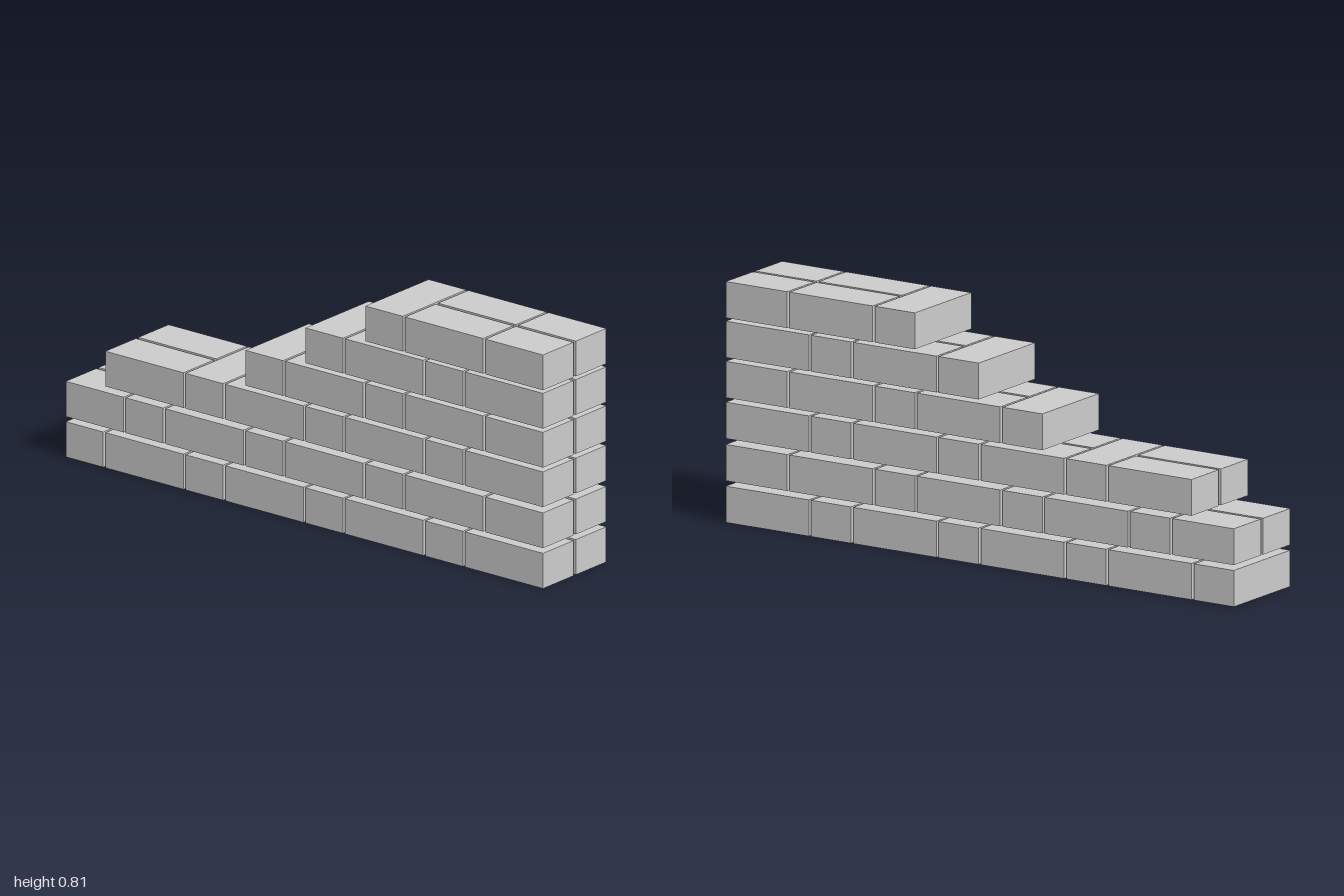
import * as THREE from 'three';

const HEADER = 0.157, STRETCHER = 0.327, CLOSER = 0.242; // brick lengths along z
const JOINT = 0.0091, WIDTH = 0.327, HEIGHT = 0.122;

// S = pair of stretchers, H = header across the wall, Q = pair of three-quarter bricks
const COURSES = [
  { y: 0, bricks: 'SHSHSHSH' },
  { y: 0.14, bricks: 'QSHSHSHQ' },
  { y: 0.282, bricks: 'SHSHSHS' },
  { y: 0.419, bricks: 'QSHSH' },
  { y: 0.554, bricks: 'SHSH' },
  { y: 0.687, bricks: 'QSH' },
];

export function createModel() {
  const wall = new THREE.Group();
  wall.name = 'steppedBrickWall';
  const material = new THREE.MeshStandardMaterial({ color: 0xcccccc, flatShading: true });
  const lengths = { S: STRETCHER, H: HEADER, Q: CLOSER };
  const names = { S: 'stretcherBrick', H: 'headerBrick', Q: 'threeQuarterBrick' };

  COURSES.forEach(({ y, bricks }, row) => {
    const course = new THREE.Group();
    course.name = `course${row + 1}`;
    course.position.y = y + HEIGHT / 2;

    // Lay the bricks from the front end towards the back
    let z = 1;
    for (const type of bricks) {
      const length = lengths[type];
      const width = type === 'H' ? WIDTH : HEADER;
      const offset = (WIDTH - HEADER) / 2;
      for (const x of type === 'H' ? [0] : [-offset, offset]) {
        const brick = new THREE.Mesh(new THREE.BoxGeometry(width, HEIGHT, length), material);
        brick.name = names[type];
        brick.position.set(x, 0, z - length / 2);
        course.add(brick);
      }
      z -= length + JOINT;
    }
    wall.add(course);
  });

  return wall;
}
